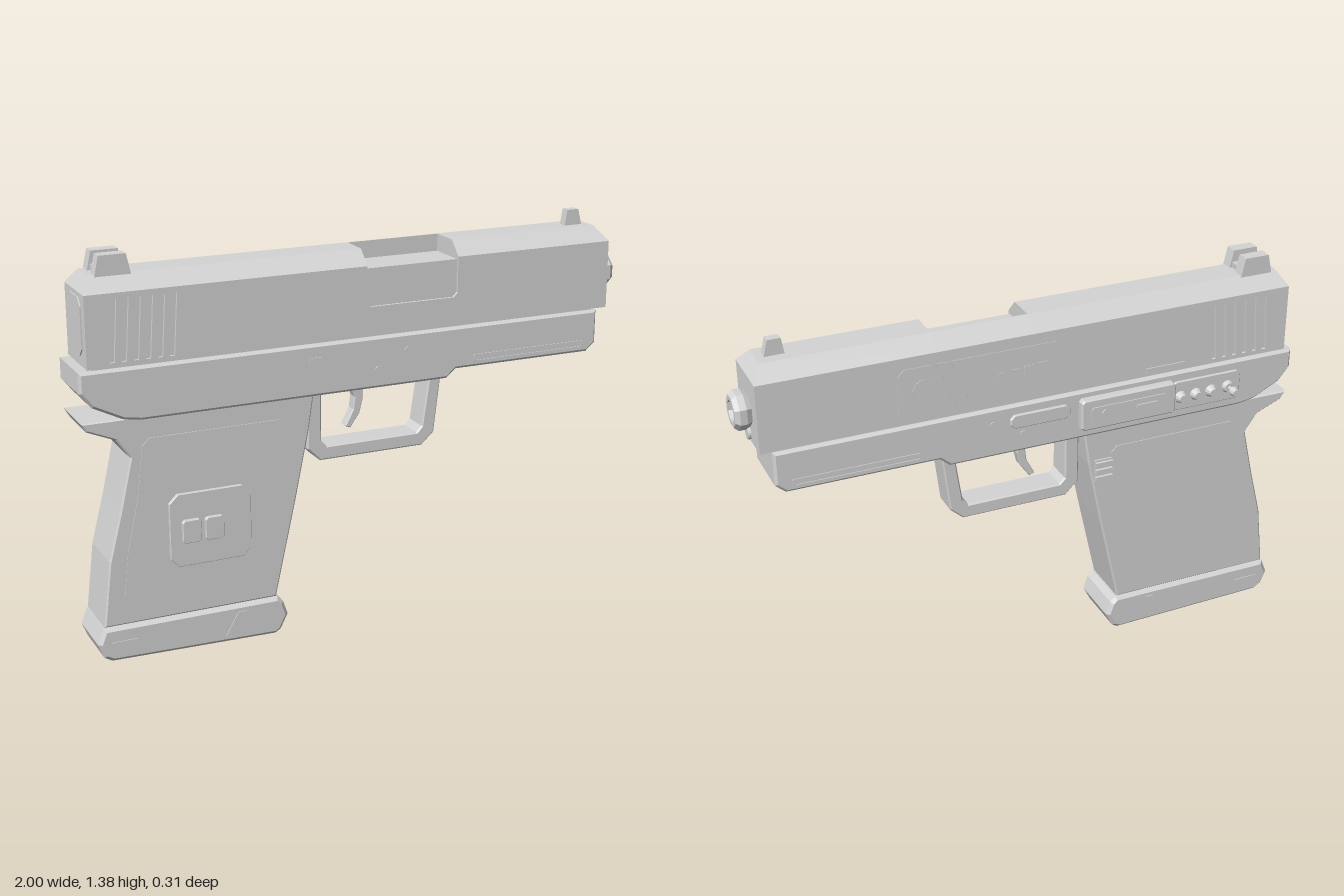
import * as THREE from 'three';
import { ConvexGeometry } from 'three/addons/geometries/ConvexGeometry.js';

export function createModel() {
  const model = new THREE.Group();
  const body = new THREE.Group();
  body.name = 'toyPistol';
  body.position.z = 0.025;
  model.add(body);
  const grey = new THREE.MeshStandardMaterial({ color: 0xd5d5d5 });
  grey.name = 'lightGrey';

  const add = (name, geo) => {
    const flat = geo.index ? geo.toNonIndexed() : geo;
    flat.computeVertexNormals();
    const mesh = new THREE.Mesh(flat, grey);
    mesh.name = name;
    body.add(mesh);
    return mesh;
  };
  // box given by its limits on each axis
  const box = (name, x0, x1, y0, y1, z0, z1) =>
    add(name, new THREE.BoxGeometry(x1 - x0, y1 - y0, z1 - z0)
      .translate((x0 + x1) / 2, (y0 + y1) / 2, (z0 + z1) / 2));
  const vecs = (pts) => pts.map(([x, y]) => new THREE.Vector2(x, y));
  // side profile extruded from z0 to z1, with chamfered edges inside the outline
  const slab = (name, pts, z0, z1, bevel = 0, holes = []) => {
    const shape = new THREE.Shape(vecs(pts));
    holes.forEach((h) => shape.holes.push(new THREE.Path(vecs(h))));
    return add(name, new THREE.ExtrudeGeometry(shape, {
      depth: z1 - z0 - 2 * bevel, bevelEnabled: bevel > 0, bevelSize: bevel,
      bevelThickness: bevel, bevelOffset: -bevel, bevelSegments: 1,
    }).translate(0, 0, z0 + bevel));
  };
  // rectangle outline with cut corners
  const cut = (x0, x1, y0, y1, c) => [[x0 + c, y0], [x1 - c, y0], [x1, y0 + c], [x1, y1 - c],
    [x1 - c, y1], [x0 + c, y1], [x0, y1 - c], [x0, y0 + c]];
  const disc = (name, x, y, z0, z1, r, r2 = r, n = 12) =>
    add(name, new THREE.CylinderGeometry(r2, r, Math.abs(z1 - z0), n)
      .rotateX(z1 > z0 ? Math.PI / 2 : -Math.PI / 2).translate(x, y, (z0 + z1) / 2));

  // slide core and side skins with slanted serration slots
  box('slideCore', -0.965, 0.94, 1.025, 1.255, -0.095, 0.095);
  const slots = [];
  for (let i = 0; i < 6; i++) {
    const x = -0.895 + i * 0.04;
    slots.push([[x, 1.04], [x + 0.016, 1.04], [x + 0.03, 1.245], [x + 0.014, 1.245]]);
  }
  slab('slideSideRight', [[-0.97, 1.025], [0.945, 1.025], [0.945, 1.25], [0.342, 1.25], [0.342, 1.14],
    [0.327, 1.125], [0.015, 1.125], [0, 1.14], [0, 1.25], [-0.97, 1.25]], 0.093, 0.105, 0, slots);
  slab('slideSideLeft', [[-0.97, 1.025], [0.945, 1.025], [0.945, 1.25], [-0.97, 1.25]],
    -0.105, -0.093, 0, slots);
  box('slideNose', 0.935, 0.945, 1.025, 1.255, -0.094, 0.094);
  box('slideTail', -0.97, -0.96, 1.025, 1.255, -0.094, 0.094);
  const tailPlate = slab('tailPlate', cut(-0.07, 0.07, 1.06, 1.25, 0.025), 0, 0.005);
  tailPlate.rotation.y = -Math.PI / 2;
  tailPlate.position.x = -0.969;

  // chamfered top of the slide, open over the ejection port
  const cap = (name, x0, x1, in0, in1, z0, z1, t0, t1) => {
    const pts = [];
    for (const y of [1.25, 1.265]) for (const x of [x0, x1]) for (const z of [z0, z1])
      pts.push(new THREE.Vector3(x, y, z));
    for (const x of [x0 + in0, x1 - in1]) for (const z of [t0, t1])
      pts.push(new THREE.Vector3(x, 1.315, z));
    add(name, new ConvexGeometry(pts));
  };
  cap('slideTopRear', -0.97, 0, 0.03, 0, -0.105, 0.105, -0.055, 0.055);
  cap('slideTopFront', 0.342, 0.945, 0, 0.035, -0.105, 0.105, -0.055, 0.055);
  cap('slideTopPort', 0, 0.342, 0, 0, -0.105, -0.05, -0.055, -0.05);

  // sights
  for (const z of [-0.041, 0.041])
    slab('rearSight', [[-0.92, 1.31], [-0.8, 1.31], [-0.815, 1.377], [-0.905, 1.377]], z - 0.022, z + 0.022);
  box('rearSightBase', -0.91, -0.81, 1.31, 1.335, -0.03, 0.03);
  slab('frontSight', [[0.815, 1.31], [0.885, 1.31], [0.87, 1.37], [0.825, 1.37]], -0.016, 0.016);

  // octagonal muzzle with a hollow bore, and the rod below it
  const muzzle = add('muzzle', new THREE.LatheGeometry(vecs([[0.001, -0.02], [0.032, -0.02],
    [0.038, 0.05], [0.055, 0.05], [0.067, 0.035], [0.067, 0.012], [0.058, -0.006]]).reverse(), 8, Math.PI / 8));
  muzzle.rotation.z = -Math.PI / 2;
  muzzle.position.set(0.95, 1.14, 0.003);
  const axial = (name, y, r) => {
    const mesh = add(name, new THREE.CylinderGeometry(r, r, 0.02, 16));
    mesh.rotation.z = Math.PI / 2;
    mesh.position.set(0.945, y, 0.003);
  };
  axial('boreFloor', 1.14, 0.036);
  axial('guideRod', 1.052, 0.022);

  // frame
  slab('frame', [[-1, 1.02], [-1, 0.95], [-0.96, 0.9], [-0.86, 0.85], [-0.8, 0.84], [0.305, 0.84],
    [0.34, 0.87], [0.87, 0.87], [0.905, 0.9], [0.905, 1.02]], -0.11, 0.11, 0.009);
  box('slideRail', -0.95, 0.89, 1.01, 1.03, -0.095, 0.095);
  for (const s of [-1, 1]) {
    const [a, b] = s > 0 ? [0.108, 0.113] : [-0.113, -0.108];
    slab('railOutline', cut(0.405, 0.85, 0.888, 0.915, 0.004), a, b, 0,
      [cut(0.415, 0.84, 0.894, 0.909, 0.002)]);
    for (const [x, y] of [[0.15, 0.96], [0.04, 0.905]]) disc('framePin', x, y, s * 0.108, s * 0.113, 0.013);
  }
  box('framePlug', -0.215, -0.165, 0.925, 0.975, 0.108, 0.113);
  box('accessoryNotch', 0.58, 0.64, 0.866, 0.875, -0.075, 0.075);

  // trigger guard as an open loop, and the trigger inside it
  slab('triggerGuard', [[-0.197, 0.85], [-0.197, 0.635], [-0.15, 0.588], [0.24, 0.588], [0.287, 0.63],
    [0.314, 0.85], [0.268, 0.85], [0.24, 0.658], [0.22, 0.637], [-0.125, 0.637], [-0.145, 0.658],
    [-0.145, 0.85]], -0.05, 0.05, 0.005);
  slab('trigger', [[-0.03, 0.85], [0.022, 0.85], [0.025, 0.78], [0.013, 0.73], [-0.022, 0.68],
    [-0.042, 0.688], [-0.012, 0.745], [-0.006, 0.79]], -0.02, 0.02, 0.003);

  // grip with rear tang
  slab('grip', [[-0.998, 0.85], [-0.98, 0.82], [-0.885, 0.78], [-0.84, 0.715], [-0.88, 0.54],
    [-0.925, 0.365], [-0.952, 0.137], [-0.34, 0.137], [-0.263, 0.48], [-0.213, 0.72], [-0.193, 0.85]],
  -0.1, 0.1, 0.006);
  const panel = [[-0.8, 0.75], [-0.775, 0.775], [-0.32, 0.775], [-0.295, 0.75], [-0.385, 0.225],
    [-0.41, 0.2], [-0.855, 0.2], [-0.88, 0.23], [-0.862, 0.39], [-0.82, 0.58]].reverse();
  slab('gripPanelRight', panel, 0.098, 0.103);
  slab('gripPanelLeft', panel, -0.103, -0.098);
  slab('gripBadge', cut(-0.72, -0.433, 0.315, 0.57, 0.03), 0.1, 0.115, 0.002);
  for (const x of [-0.68, -0.6]) slab('badgePad', cut(x, x + 0.065, 0.4, 0.48, 0.008), 0.113, 0.13, 0.002);

  // magazine release
  box('magazineRelease', -0.3, -0.235, 0.65, 0.735, -0.106, -0.098);
  for (let i = 0; i < 3; i++)
    box('releaseRidge', -0.3, -0.235, 0.655 + i * 0.028, 0.672 + i * 0.028, -0.116, -0.104);

  // magazine base
  box('magazineNeck', -0.9, -0.36, 0.11, 0.15, -0.075, 0.075);
  slab('magazineBase', [[-0.955, 0.135], [-0.977, 0.08], [-0.957, 0.03], [-0.93, 0.014], [-0.345, 0],
    [-0.325, 0.012], [-0.298, 0.065], [-0.315, 0.115], [-0.335, 0.135]], -0.108, 0.108, 0.012);
  for (const s of [-1, 1]) {
    const [a, b] = s > 0 ? [0.106, 0.111] : [-0.111, -0.106];
    slab('baseSlot', cut(-0.93, -0.84, 0.06, 0.085, 0.004), a, b);
    slab('baseStripe', [[-0.53, 0.03], [-0.5, 0.03], [-0.455, 0.11], [-0.485, 0.11]], a, b);
  }

  // decorated panel on the left of the slide, split by a slanted stripe
  const d = [-0.107, -0.103];
  slab('slidePanelFront', [[0.29, 1.05], [0.48, 1.05], [0.48, 1.2], [0.455, 1.225], [0.36, 1.225]], ...d);
  slab('slidePanelStripe', [[0.24, 1.05], [0.275, 1.05], [0.345, 1.225], [0.31, 1.225]], ...d);
  slab('slidePanelRear', [[-0.08, 1.05], [0.225, 1.05], [0.295, 1.225], [-0.085, 1.225],
    [-0.11, 1.2], [-0.11, 1.08]], ...d);
  disc('panelDisc', 0.39, 1.14, -0.105, -0.109, 0.04, 0.04, 8);
  [0.008, 0.012, 0.016, 0.02].forEach((r, i) => {
    const x = 0.12 - i * 0.05;
    box('panelSquare', x - r, x + r, 1.14 - r, 1.14 + r, -0.109, -0.105);
  });
  box('slideLug', -0.57, -0.42, 1.035, 1.055, -0.109, -0.1);

  // controls on the left of the frame
  slab('slideCatch', cut(-0.13, 0.09, 0.935, 0.985, 0.015), -0.12, -0.105, 0.003);
  slab('controlBox', cut(-0.525, -0.165, 0.88, 0.995, 0.01), -0.138, -0.105, 0.005);
  slab('controlFace', cut(-0.49, -0.2, 0.91, 0.965, 0.008), -0.142, -0.135);
  disc('controlButton', -0.25, 0.94, -0.14, -0.146, 0.014, 0.014, 4);
  box('controlLever', -0.45, -0.37, 0.932, 0.945, -0.147, -0.14);
  slab('controlPlate', cut(-0.79, -0.52, 0.875, 0.985, 0.015), -0.118, -0.105, 0.003);
  for (const x of [-0.55, -0.61, -0.67]) {
    disc('knobStem', x, 0.93, -0.115, -0.13, 0.016);
    disc('knob', x, 0.93, -0.125, -0.148, 0.023, 0.014);
  }
  disc('leverCollar', -0.74, 0.93, -0.115, -0.135, 0.024, 0.018);
  disc('leverStem', -0.74, 0.93, -0.13, -0.165, 0.008);
  disc('leverTip', -0.74, 0.93, -0.16, -0.182, 0.017, 0.012);

  return model;
}
